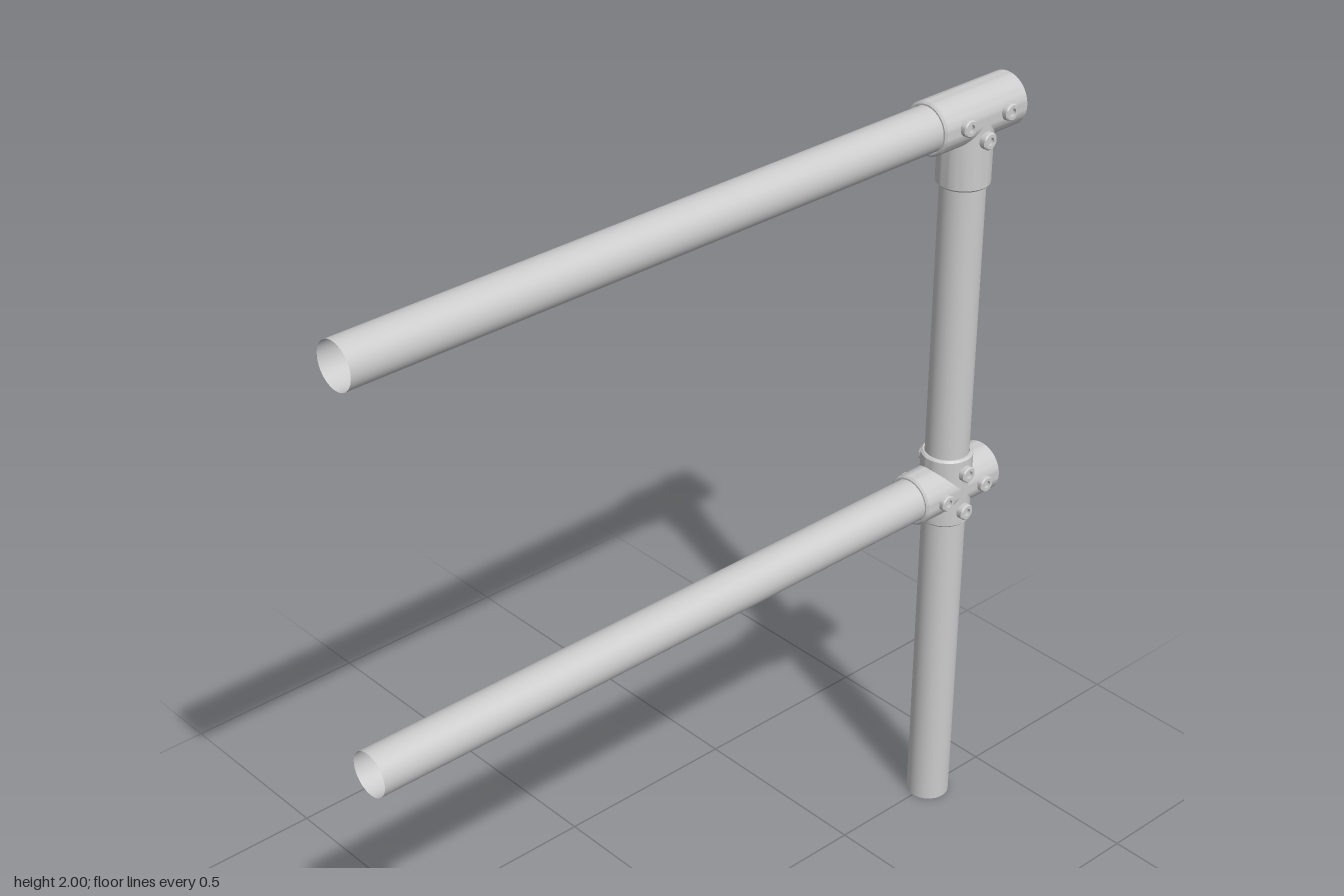
import * as THREE from 'three';
import { toCreasedNormals } from 'three/addons/utils/BufferGeometryUtils.js';

const PIPE = 0.055, BORE = 0.056, OUTER = 0.065, BEVEL = 0.005;
const POST_Z = -0.81, TOP_Y = 1.935, MID_Y = 0.952;
const SEG = 48;

const material = new THREE.MeshStandardMaterial({ color: 0xcccccc, side: THREE.DoubleSide });

function mesh(name, geometry, parent) {
  const m = new THREE.Mesh(geometry, material);
  m.name = name;
  parent.add(m);
  return m;
}

const lathe = (points, seg = SEG) =>
  new THREE.LatheGeometry(points.map(([r, y]) => new THREE.Vector2(r, y)), seg);

// Thin open tube along y
const tube = (length) => new THREE.CylinderGeometry(PIPE, PIPE, length, SEG, 1, true);

// Straight socket with wall thickness, running along z from z0 to z1
function socketGeometry(z0, z1) {
  const g = lathe([
    [BORE, z0], [OUTER - BEVEL, z0], [OUTER, z0 + BEVEL],
    [OUTER, z1 - BEVEL], [OUTER - BEVEL, z1], [BORE, z1], [BORE, z0],
  ]);
  g.rotateX(Math.PI / 2);
  return toCreasedNormals(g, 0.6);
}

// Branch socket along +y whose base is cut to sit on the straight socket
function branchGeometry(height) {
  const g = lathe([
    [OUTER, 0], [OUTER, height - BEVEL], [OUTER - BEVEL, height], [BORE, height], [BORE, 0],
  ]);
  const p = g.attributes.position, r = 0.061;
  for (let i = 0; i < p.count; i++) {
    if (p.getY(i) === 0) p.setY(i, Math.sqrt(Math.max(0, r * r - p.getX(i) ** 2)));
  }
  return toCreasedNormals(g, 0.6);
}

// Set screw along +x: inner tip, shank, bevelled head and recessed socket
function screwGeometry() {
  const g = lathe([
    [0, 0.046], [0.013, 0.046], [0.015, 0.049], [0.015, 0.062], [0.021, 0.062],
    [0.021, 0.076], [0.018, 0.079], [0.010, 0.079], [0.010, 0.071], [0, 0.071],
  ], 18);
  g.rotateZ(-Math.PI / 2);
  return toCreasedNormals(g, 0.6);
}

// Pipe fitting at height y: socket, branches and mirrored screws
function fitting(name, y, zFront, zBack, branches, screws) {
  const group = new THREE.Group();
  group.name = name;
  group.position.set(0, y, POST_Z);
  mesh('socket', socketGeometry(zBack - POST_Z, zFront - POST_Z), group);
  for (const h of branches) {
    const b = mesh('branchSocket', branchGeometry(Math.abs(h)), group);
    if (h < 0) b.rotation.x = Math.PI;
  }
  const screw = screwGeometry();
  for (const side of [0, Math.PI]) {
    for (const [z, dy] of screws) {
      const s = mesh('setScrew', screw, group);
      s.position.set(0, dy, z);
      s.rotation.y = side;
    }
  }
  return group;
}

export function createModel() {
  const model = new THREE.Group();
  model.name = 'guardRail';

  // Upright post ends just below the bore of the top fitting
  const postTop = TOP_Y - 0.06;
  mesh('post', tube(postTop), model).position.set(0, postTop / 2, POST_Z);

  // Horizontal rails
  const front = 0.95, back = -0.75;
  for (const [name, y] of [['topRail', TOP_Y], ['middleRail', MID_Y]]) {
    const rail = mesh(name, tube(front - back), model);
    rail.rotation.x = Math.PI / 2;
    rail.position.set(0, y, (front + back) / 2);
  }

  // Tee at the top, cross in the middle
  const sideScrews = [[0.068, 0.006], [-0.068, 0.006]];
  model.add(fitting('teeFitting', TOP_Y, -0.675, -0.947, [-0.17],
    [...sideScrews, [0, -0.045]]));
  model.add(fitting('crossFitting', MID_Y, -0.68, -0.94, [0.096, -0.094],
    [[0.068, 0], [-0.068, 0], [0, 0.055], [0, -0.053]]));

  return model;
}
